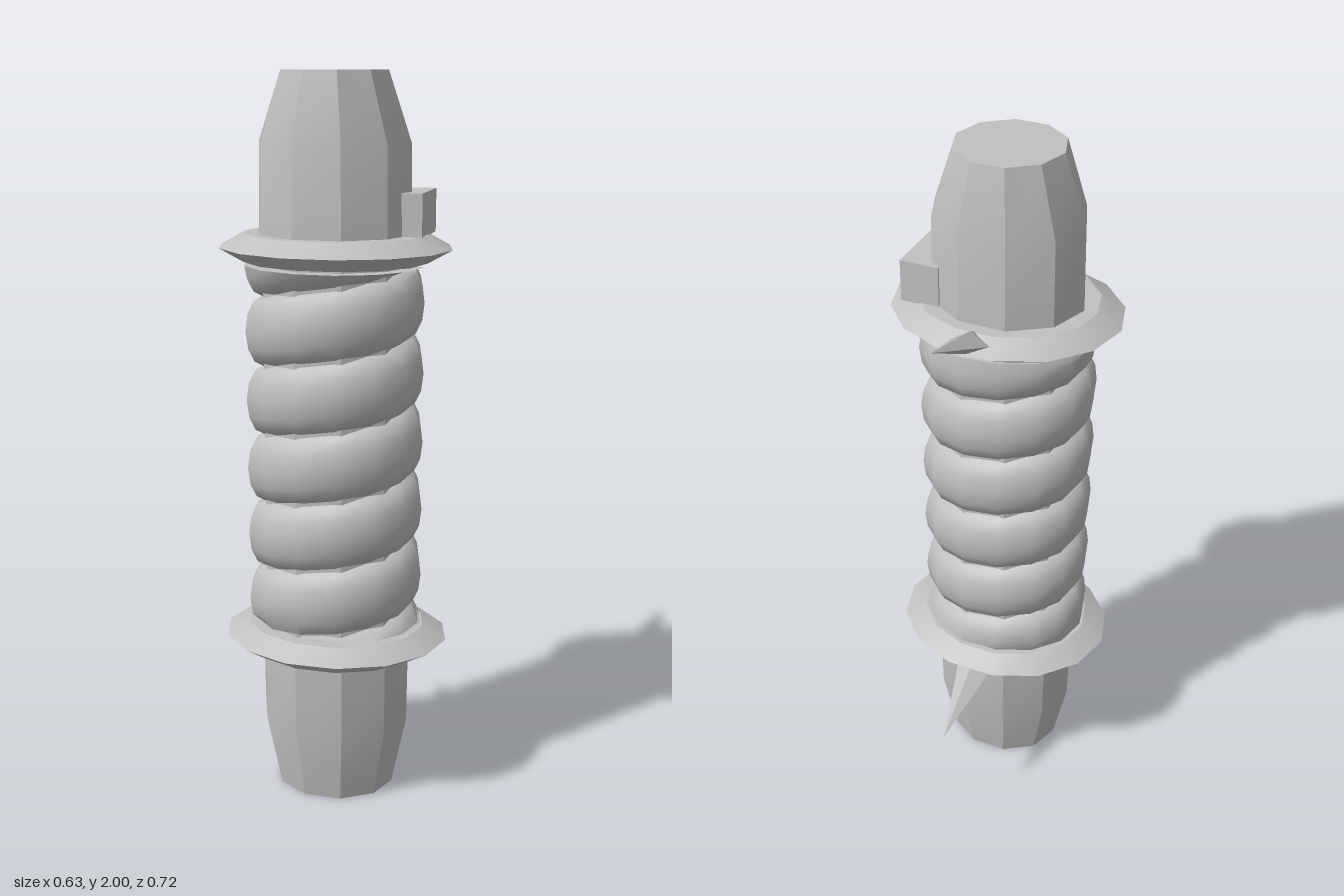
import * as THREE from 'three';
import { toCreasedNormals } from 'three/addons/utils/BufferGeometryUtils.js';

const AXIS_Z = 0.093;

function indexed(points, index, crease) {
  const g = new THREE.BufferGeometry();
  g.setAttribute('position', new THREE.Float32BufferAttribute(points, 3));
  g.setIndex(index);
  return toCreasedNormals(g, crease);
}

// Closed elliptical stack; rings are [y, radiusX, radiusZ] from bottom to top
function stack(rings, sides, crease) {
  const p = [], idx = [], top = (rings.length - 1) * sides;
  for (const [y, rx, rz] of rings)
    for (let i = 0; i < sides; i++) {
      const a = (i / sides) * Math.PI * 2;
      p.push(rx * Math.cos(a), y, rz * Math.sin(a));
    }
  for (let r = 0; r < rings.length - 1; r++)
    for (let i = 0; i < sides; i++) {
      const a = r * sides + i, b = r * sides + ((i + 1) % sides);
      idx.push(a, a + sides, b, b, a + sides, b + sides);
    }
  for (let i = 1; i < sides - 1; i++) idx.push(0, i, i + 1, top, top + i + 1, top + i);
  return indexed(p, idx, crease);
}

// Rounded ridge winding round the core, cut flat at both ends
function coil(y0, y1, pitch, rx, rz, bulge) {
  const p = [], idx = [], perTurn = 14, arc = 6;
  const steps = Math.ceil(((y1 - y0) / pitch + 1) * perTurn);
  for (let s = 0; s <= steps; s++) {
    const a = (s / perTurn) * Math.PI * 2, yc = y1 + pitch / 2 - (s / perTurn) * pitch;
    for (let j = 0; j <= arc; j++) {
      const b = (j / arc - 0.5) * Math.PI, out = bulge * Math.cos(b);
      const y = THREE.MathUtils.clamp(yc + (pitch / 2) * Math.sin(b), y0, y1);
      p.push((rx + out) * Math.cos(a), y, (rz + out) * Math.sin(a));
    }
  }
  const row = arc + 1;
  for (let s = 0; s < steps; s++)
    for (let j = 0; j < arc; j++) {
      const a = s * row + j, b = a + row;
      idx.push(a, a + 1, b, b, a + 1, b + 1);
    }
  return indexed(p, idx, 0.75);
}

// Four-sided spike with a short neck; dir = 1 points up, -1 points down
function spike(yMid, dir) {
  // sections: [z, y centre, half width, half height]
  const sections = [[-0.07, 0.01, 0.02, 0.015], [-0.118, 0.012, 0.028, 0.022],
    [-0.142, 0.016, 0.052, 0.034], [-0.358, 0.108, 0.0005, 0.0005]];
  const p = [], idx = [];
  for (const [z, y, w, h] of sections)
    for (const [u, v] of [[1, 0], [0, 1], [-1, 0], [0, -1]])
      p.push(u * w, yMid + dir * y + v * h, z);
  for (let s = 0; s < 3; s++)
    for (let i = 0; i < 4; i++) {
      const a = s * 4 + i, b = s * 4 + ((i + 1) % 4);
      idx.push(a, a + 4, b, b, a + 4, b + 4);
    }
  idx.push(0, 1, 2, 0, 2, 3);
  return indexed(p, idx, 0.1);
}

export function createModel() {
  const model = new THREE.Group();
  model.name = 'grip';
  const grey = new THREE.MeshStandardMaterial({ color: 0xc0c0c0 });
  grey.name = 'light grey';
  grey.side = THREE.DoubleSide;

  const add = (name, geometry, x = 0, y = 0, z = 0) => {
    const mesh = new THREE.Mesh(geometry, grey);
    mesh.name = name;
    mesh.position.set(x, y, z);
    model.add(mesh);
  };

  // Ten-sided tapered ends and the core between them
  add('lowerEnd', stack([[0, 0.168, 0.147], [0.2, 0.21, 0.185], [0.44, 0.213, 0.188]], 10, 0.3), -0.003, 0, AXIS_Z);
  add('core', stack([[0.43, 0.205, 0.18], [1.57, 0.205, 0.18]], 10, 0.3), -0.003, 0, AXIS_Z);
  add('upperEnd', stack([[1.55, 0.211, 0.187], [1.82, 0.206, 0.183], [2, 0.145, 0.146]], 10, 0.3), -0.003, 0, AXIS_Z);

  // Ribbed grip
  add('spiralGrip', coil(0.5, 1.5, 0.19, 0.2, 0.167, 0.046), -0.003, 0, AXIS_Z);

  // Bevelled guards
  for (const [name, y, s] of [['upperGuard', 1.547, 1], ['lowerGuard', 0.457, 1]])
    add(name, stack([[y - 0.037 * s, 0.25, 0.218], [y, 0.316, 0.273], [y + 0.036 * s, 0.25, 0.218]], 14, 0.5), 0, 0, AXIS_Z);

  // Spikes at the back
  add('upperSpike', spike(1.55, 1));
  add('lowerSpike', spike(0.455, -1));

  // Switch block on the left side
  add('switchBlock', new THREE.BoxGeometry(0.108, 0.115, 0.182), 0.189, 1.637, 0.049);
  return model;
}
